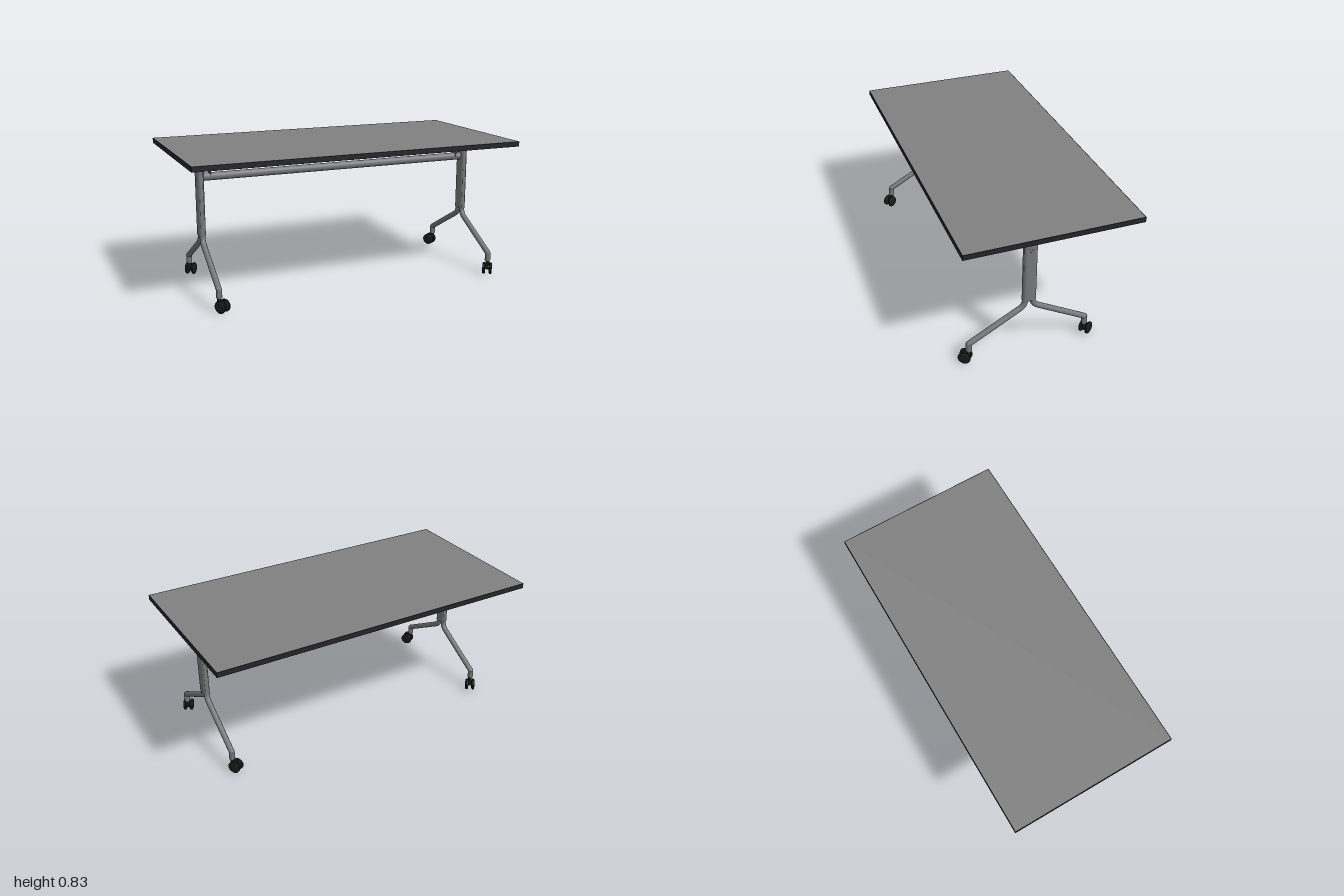
import * as THREE from 'three';
import { toCreasedNormals } from 'three/addons/utils/BufferGeometryUtils.js';

const mat = (color) => new THREE.MeshStandardMaterial({ color });
const V = (x, y, z) => new THREE.Vector3(x, y, z);

export function createModel() {
  const root = new THREE.Group();
  root.name = 'foldingTable';
  const topMat = mat(0x808080), edgeMat = mat(0x25252a), steel = mat(0x76787a), black = mat(0x1a1a1a);
  const COL_X = 0.86, COL_Z = 0.085, PLATE_X = 0.8;

  const add = (parent, name, geometry, material, x = 0, y = 0, z = 0) => {
    const mesh = new THREE.Mesh(geometry, material);
    mesh.name = name;
    mesh.position.set(x, y, z);
    parent.add(mesh);
    return mesh;
  };
  const box = (parent, name, w, h, d, m, x, y, z) =>
    add(parent, name, new THREE.BoxGeometry(w, h, d), m, x, y, z);
  // Round bar between two points
  const rod = (parent, name, a, b, r, m = steel, sides = 24) => {
    const mesh = add(parent, name, new THREE.CylinderGeometry(r, r, a.distanceTo(b), sides), m);
    mesh.position.copy(a).lerp(b, 0.5);
    mesh.quaternion.setFromUnitVectors(V(0, 1, 0), b.clone().sub(a).normalize());
    return mesh;
  };

  // Table top with its dark edge band
  box(root, 'tableTop', 1.992, 0.03, 0.992, topMat, 0, 0.815, 0);
  for (const s of [-1, 1]) {
    box(root, 'longEdgeBand', 2, 0.03, 0.004, edgeMat, 0, 0.815, s * 0.498);
    box(root, 'shortEdgeBand', 0.004, 0.03, 0.992, edgeMat, s * 0.998, 0.815, 0);
  }

  // Long bars joining the two ends
  rod(root, 'crossbar', V(-0.845, 0.685, COL_Z), V(0.845, 0.685, COL_Z), 0.023, steel, 32);
  rod(root, 'releaseBar', V(-0.8, 0.786, -0.03), V(0.8, 0.786, -0.03), 0.0115);

  // Flat-oval column section
  const oval = new THREE.Shape();
  oval.absarc(0, 0.02, 0.02, 0, Math.PI, false);
  oval.absarc(0, -0.02, 0.02, Math.PI, Math.PI * 2, false);
  const columnGeo = toCreasedNormals(
    new THREE.ExtrudeGeometry(oval, { depth: 0.385, bevelEnabled: false, curveSegments: 16 })
      .rotateX(-Math.PI / 2), 0.6);

  // Tilt bracket outline, drawn in z and y
  const outline = new THREE.Shape();
  outline.moveTo(0.29, 0.8);
  outline.lineTo(0.29, 0.79);
  outline.lineTo(0.243, 0.752);
  outline.lineTo(0.145, 0.728);
  outline.lineTo(0.06, 0.728);
  outline.lineTo(0.047, 0.745);
  outline.quadraticCurveTo(0.03, 0.77, 0.014, 0.75);
  outline.quadraticCurveTo(0.005, 0.738, -0.048, 0.75);
  outline.lineTo(-0.126, 0.787);
  outline.lineTo(-0.126, 0.8);
  outline.closePath();
  const hole = new THREE.Path();
  hole.absarc(0.24, 0.77, 0.006, 0, Math.PI * 2, true);
  outline.holes.push(hole);
  const plateGeo = new THREE.ExtrudeGeometry(outline, { depth: 0.004, bevelEnabled: false, curveSegments: 10 })
    .translate(0, 0, -0.002).rotateY(-Math.PI / 2);

  // Wheel section with softened rims, axle along x
  const wheelGeo = toCreasedNormals(new THREE.LatheGeometry([
    [0, -0.009], [0.024, -0.009], [0.032, -0.0075], [0.036, -0.004],
    [0.036, 0.004], [0.032, 0.0075], [0.024, 0.009], [0, 0.009],
  ].map(([r, h]) => new THREE.Vector2(r, h)), 32).rotateZ(Math.PI / 2), 0.6);

  // Twin-wheel swivel caster, pivot at the origin
  const caster = (parent, x, z, turn) => {
    const g = new THREE.Group();
    g.name = 'caster';
    g.position.set(x, 0, z);
    g.rotation.y = turn;
    parent.add(g);
    rod(g, 'casterStem', V(0, 0.045, 0), V(0, 0.086, 0), 0.012, black);
    box(g, 'casterBody', 0.018, 0.034, 0.034, black, 0, 0.047, 0.012);
    rod(g, 'casterAxle', V(-0.024, 0.037, 0.022), V(0.024, 0.037, 0.022), 0.007, black, 16);
    for (const s of [-1, 1]) add(g, 'casterWheel', wheelGeo, black, s * 0.02, 0.036, 0.022);
  };

  // One splayed leg: f = 1 to the front, -1 to the back
  const leg = (parent, s, f) => {
    const x = s * COL_X, r = 0.0165;
    const at = (dz, y) => V(x, y, COL_Z + f * dz);
    const path = new THREE.CurvePath();
    path.add(new THREE.LineCurve3(at(0.021, 0.37), at(0.021, 0.345)));
    path.add(new THREE.QuadraticBezierCurve3(at(0.021, 0.345), at(0.021, 0.309), at(0.055, 0.29)));
    path.add(new THREE.LineCurve3(at(0.055, 0.29), at(0.345, 0.128)));
    add(parent, 'legTube', new THREE.TubeGeometry(path, 72, r, 20), steel);
    const ankle = at(0.345, 0.128);
    add(parent, 'legElbow', new THREE.SphereGeometry(r, 20, 14), steel, ankle.x, ankle.y, ankle.z);
    rod(parent, 'legFoot', at(0.345, 0.081), ankle, r + 0.0005, steel, 20);
    caster(parent, x, ankle.z, -s * f * THREE.MathUtils.degToRad(35) + (f < 0 ? Math.PI : 0));
  };

  // Both ends of the table
  for (const s of [-1, 1]) {
    const end = new THREE.Group();
    end.name = s > 0 ? 'leftEnd' : 'rightEnd';
    root.add(end);

    add(end, 'column', columnGeo, steel, s * COL_X, 0.345, COL_Z);
    for (const [y, z] of [[0.685, 0.092], [0.68, 0.077], [0.668, 0.085]])
      rod(end, 'columnScrew', V(s * 0.87, y, z), V(s * 0.883, y, z), 0.004, steel, 12);
    for (const f of [-1, 1]) leg(end, s, f);

    // Tilt bracket, its mounting flange and the pins through it
    add(end, 'tiltPlate', plateGeo, steel, s * PLATE_X);
    box(end, 'mountingFlange', 0.04, 0.004, 0.4, steel, s * 0.805, 0.798, 0.08);
    for (const [z, y, r] of [[0.162, 0.764, 0.007], [0.093, 0.745, 0.007], [0.05, 0.745, 0.006]])
      rod(end, 'pivotPin', V(s * 0.77, y, z), V(s * 0.834, y, z), r, steel, 16);
    box(end, 'crossbarLug', 0.006, 0.06, 0.05, steel, s * PLATE_X, 0.715, COL_Z);
    rod(end, 'latchLever', V(s * 0.806, 0.734, 0.065), V(s * 0.806, 0.752, 0.045), 0.005, steel, 12);

    // Inverted channel catch under the top
    box(end, 'catchWeb', 0.034, 0.03, 0.09, steel, s * 0.64, 0.785, 0.18);
    for (const k of [-1, 1]) box(end, 'catchCheek', 0.006, 0.018, 0.09, steel, s * 0.64 + k * 0.014, 0.762, 0.18);
  }
  return root;
}
